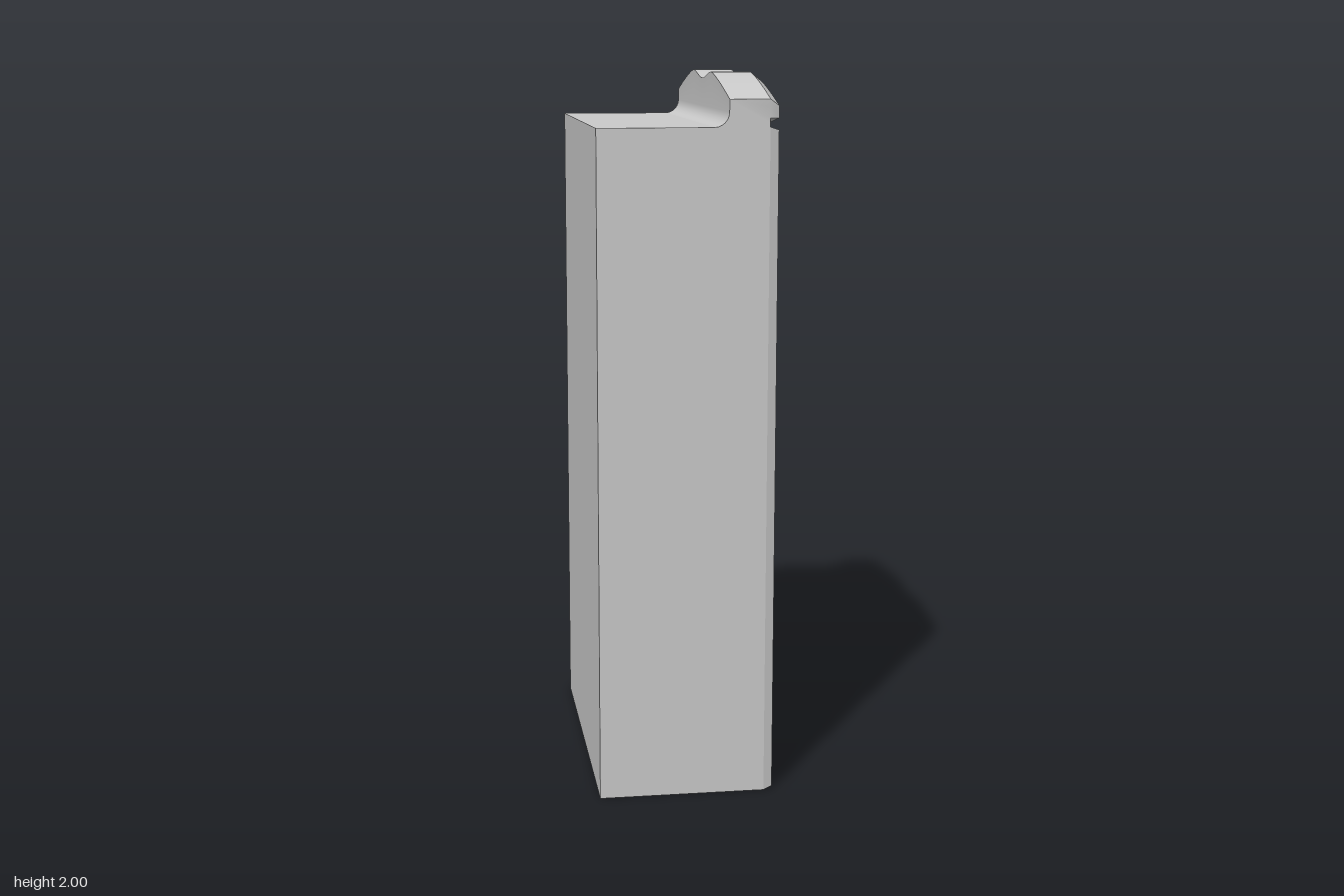
import * as THREE from 'three';
import { toCreasedNormals } from 'three/addons/utils/BufferGeometryUtils.js';

const HALF_W = 0.465, FRONT = 0.245, SHOULDER = 0.22, TOP = 1.862, BEVEL = 0.008;

// Clockwise rectangle path in (z, y), used for the openings
function rectPath(halfW, y0, y1, PathType) {
  const p = new PathType();
  p.moveTo(-halfW, y0);
  p.lineTo(halfW, y0);
  p.lineTo(halfW, y1);
  p.lineTo(-halfW, y1);
  p.closePath();
  return p;
}

// Case with five openings and bevelled front edges; the shelves face +x
function caseGeometry() {
  const shape = rectPath(HALF_W - BEVEL, BEVEL, TOP - BEVEL, THREE.Shape);
  for (let i = 0; i < 5; i++) {
    const y = 0.025 + 0.3725 * i;
    shape.holes.push(rectPath(0.405, y, y + 0.33, THREE.Path));
  }
  const geo = new THREE.ExtrudeGeometry(shape, {
    depth: 0.439, bevelEnabled: true, bevelSegments: 1, bevelSize: BEVEL, bevelThickness: 0.025,
  });
  geo.rotateY(Math.PI / 2);
  geo.translate(-0.219, 0, 0);
  return geo;
}

// Height of the wavy crest along z: two humps with a dip between them
function crestTop(z) {
  const a = Math.abs(z);
  if (a < 0.16) return 1.99 - 0.01 * Math.cos((Math.PI * a) / 0.16);
  return 2 - 0.065 * Math.pow((a - 0.16) / (HALF_W - 0.16), 1.25);
}

// Crest cross-section in (x, y): cove at the back, chamfer and groove at the front
function crestSection(z, front) {
  const top = crestTop(z);
  const pts = [new THREE.Vector2(0.07, TOP - 0.007)];
  for (let i = 0; i <= 6; i++) {
    const a = (i / 6) * Math.PI / 2;
    pts.push(new THREE.Vector2(0.07 + 0.04 * Math.sin(a), TOP + 0.04 - 0.04 * Math.cos(a)));
  }
  for (const [x, y] of [[0.11, top], [SHOULDER, top], [front, top - 0.02], [front, 1.885],
    [SHOULDER, 1.873], [SHOULDER, TOP - 0.007]]) pts.push(new THREE.Vector2(x, y));
  return pts;
}

function crestGeometry() {
  const inner = HALF_W - 0.01, steps = 60;
  const stations = [-HALF_W];
  for (let i = 0; i <= steps; i++) stations.push(-inner + (2 * inner * i) / steps);
  stations.push(HALF_W);
  const last = stations.length - 1;
  const sections = stations.map((z, j) =>
    crestSection(z, j === 0 || j === last ? SHOULDER : FRONT));

  const pos = [];
  const put = (j, i) => pos.push(sections[j][i].x, sections[j][i].y, stations[j]);
  const n = sections[0].length;
  for (let j = 0; j < last; j++) {
    for (let i = 0; i < n; i++) {
      const k = (i + 1) % n;
      put(j, i); put(j + 1, i); put(j, k);
      put(j, k); put(j + 1, i); put(j + 1, k);
    }
  }
  // End caps
  for (const j of [0, last]) {
    const ccw = sections[j].slice().reverse();
    for (const [a, b, c] of THREE.ShapeUtils.triangulateShape(ccw, [])) {
      for (const i of j === last ? [a, b, c] : [a, c, b]) put(j, n - 1 - i);
    }
  }
  const geo = new THREE.BufferGeometry();
  geo.setAttribute('position', new THREE.Float32BufferAttribute(pos, 3));
  return toCreasedNormals(geo, 0.4);
}

export function createModel() {
  const group = new THREE.Group();
  group.name = 'bookcase';
  const material = new THREE.MeshStandardMaterial({ color: 0xcccccc });
  const add = (name, geo) => {
    const mesh = new THREE.Mesh(geo, material);
    mesh.name = name;
    group.add(mesh);
    return mesh;
  };

  add('caseWithShelves', caseGeometry());
  // Back panel closes the compartments
  add('backPanel', new THREE.BoxGeometry(0.027, TOP, HALF_W * 2)).position.set(-0.2315, TOP / 2, 0);
  add('crest', crestGeometry());
  return group;
}
